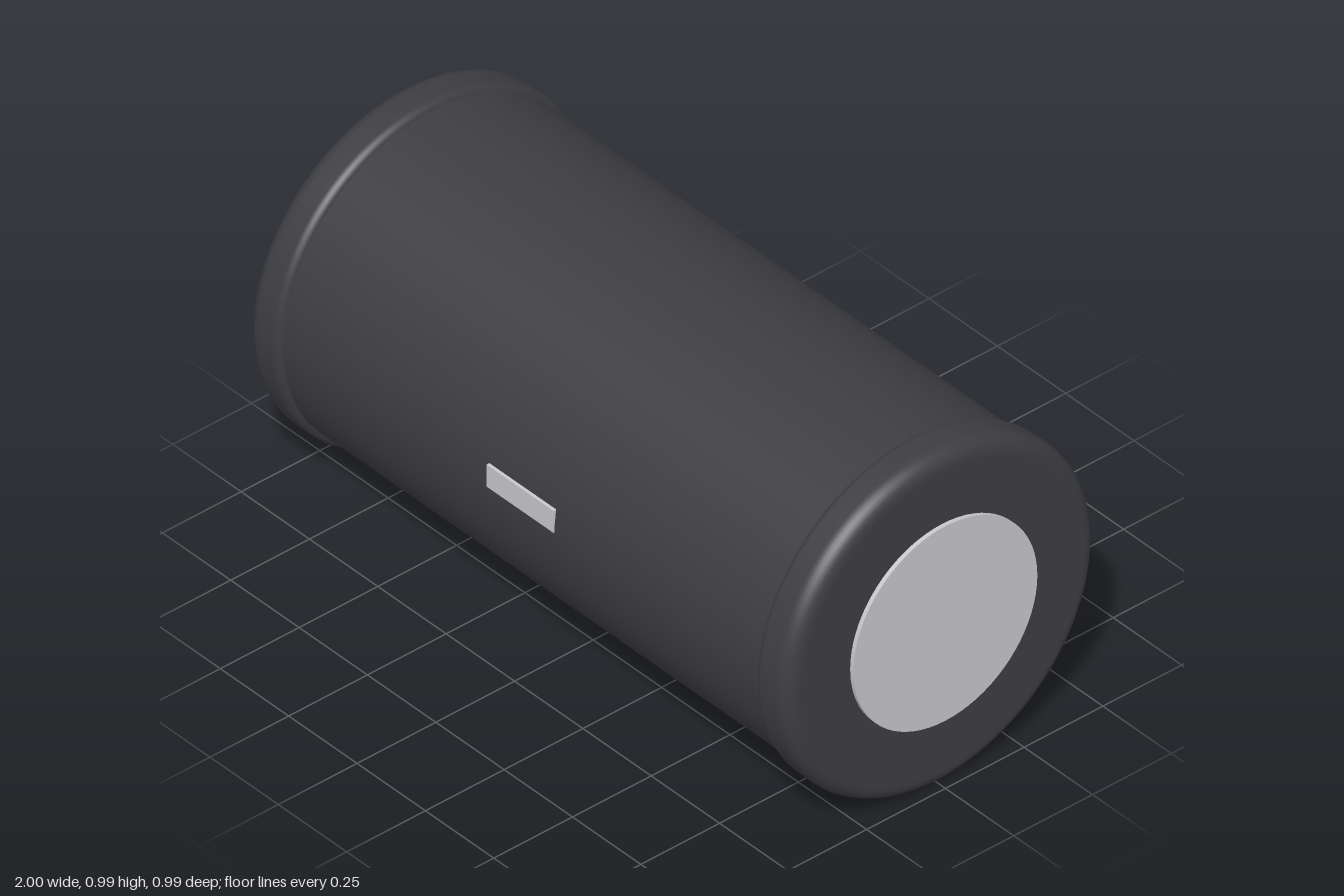
import * as THREE from 'three';

const AXIS_Y = 0.495;

export function createModel() {
  const model = new THREE.Group();
  model.name = 'cylindricalSpeaker';

  const charcoal = new THREE.MeshStandardMaterial({ color: 0x3e3d42 });
  charcoal.name = 'charcoal';
  const silver = new THREE.MeshStandardMaterial({ color: 0xc8c8ca });
  silver.name = 'silver';

  const add = (name, geometry, material, x = 0, y = 0, z = 0) => {
    const mesh = new THREE.Mesh(geometry, material);
    mesh.name = name;
    mesh.position.set(x, y, z);
    model.add(mesh);
    return mesh;
  };

  // Main barrel, lying along x
  const barrel = new THREE.CylinderGeometry(0.478, 0.478, 1.78, 96, 1, true).rotateZ(-Math.PI / 2);
  add('barrel', barrel, charcoal, 0, AXIS_Y);

  // End cap profile: rounded rim with a flat outer face
  const R = 0.495, inner = 0.87, outer = 0.988;
  const profile = [new THREE.Vector2(0.46, inner)];
  const arc = (cx, cy, r, from, to) => {
    for (let i = 0; i <= 8; i++) {
      const a = from + (to - from) * i / 8;
      profile.push(new THREE.Vector2(cx + r * Math.cos(a), cy + r * Math.sin(a)));
    }
  };
  arc(R - 0.025, inner + 0.025, 0.025, -Math.PI / 2, 0);
  arc(R - 0.045, outer - 0.045, 0.045, 0, Math.PI / 2);
  profile.push(new THREE.Vector2(0.44, outer), new THREE.Vector2(0, outer));

  for (const [side, s] of [['left', 1], ['right', -1]]) {
    const cap = new THREE.LatheGeometry(profile, 96).rotateZ(-s * Math.PI / 2);
    add(side + 'EndCap', cap, charcoal, 0, AXIS_Y);

    // Raised disc on the end face
    const disc = new THREE.CylinderGeometry(0.292, 0.292, 0.03, 72).rotateZ(-s * Math.PI / 2);
    add(side + 'EndDisc', disc, silver, s * 0.985, AXIS_Y);
  }

  // Front badge plate
  add('frontBadge', new THREE.BoxGeometry(0.245, 0.066, 0.009), silver, -0.002, 0.537, 0.4765);

  // Flat foot with rounded corners
  const w = 0.73, d = 0.193, r = 0.03;
  const outline = new THREE.Shape();
  outline.absarc(w - r, d - r, r, 0, Math.PI / 2);
  outline.absarc(-w + r, d - r, r, Math.PI / 2, Math.PI);
  outline.absarc(-w + r, -d + r, r, Math.PI, Math.PI * 1.5);
  outline.absarc(w - r, -d + r, r, Math.PI * 1.5, Math.PI * 2);
  const foot = new THREE.ExtrudeGeometry(outline, { depth: 0.04, bevelEnabled: false, curveSegments: 6 });
  add('foot', foot.rotateX(-Math.PI / 2), charcoal, 0, 0.012);

  return model;
}
